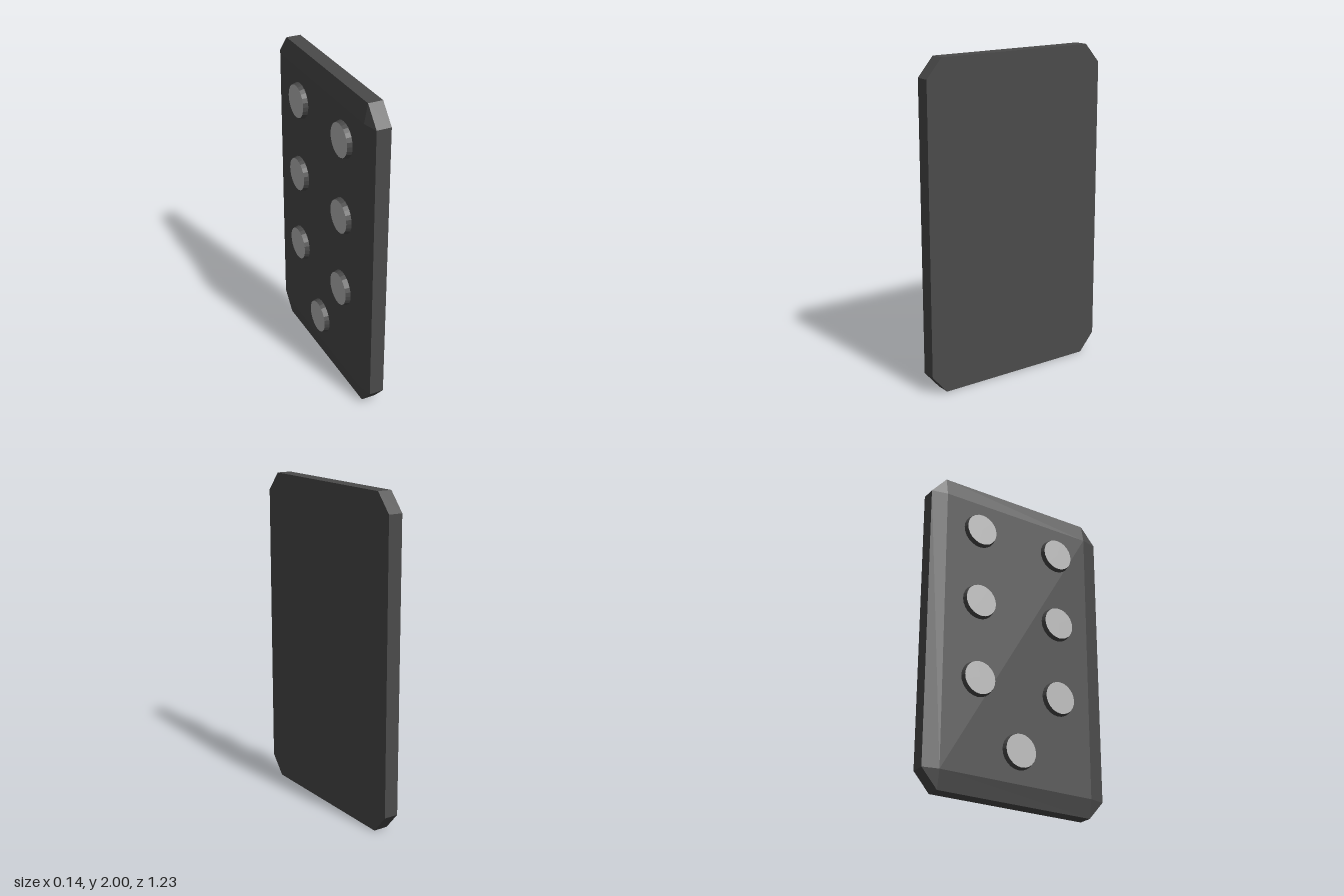
import * as THREE from 'three';
import { ConvexGeometry } from 'three/addons/geometries/ConvexGeometry.js';

const dark = new THREE.MeshStandardMaterial({ color: 0x4a4a4a, flatShading: true });
const light = new THREE.MeshStandardMaterial({ color: 0xbbbbbb });

const HALF_H = 1, HALF_W = 0.617;       // outer half height and half width
const INNER_H = 0.885, INNER_W = 0.517; // half size inside the chamfers
const BACK_X = 0.07, RIM_X = -0.02, FACE_X = -0.042, STUD_X = -0.072;

// Slab with cut corners and a shallow bevel around its studded face
function createPlate() {
  const points = [];
  for (const sy of [-1, 1]) {
    for (const sz of [-1, 1]) {
      for (const x of [BACK_X, RIM_X]) {
        points.push(new THREE.Vector3(x, sy * HALF_H, sz * INNER_W));
        points.push(new THREE.Vector3(x, sy * INNER_H, sz * HALF_W));
      }
      points.push(new THREE.Vector3(FACE_X, sy * INNER_H, sz * INNER_W));
    }
  }
  const plate = new THREE.Mesh(new ConvexGeometry(points), dark);
  plate.name = 'plate';
  plate.position.y = HALF_H;
  return plate;
}

// Slightly tapered round stud with a lighter cap, pointing to -x
function createStud(y, z) {
  const stud = new THREE.Group();
  stud.name = 'stud';
  const depth = FACE_X - STUD_X;
  const side = new THREE.Mesh(new THREE.CylinderGeometry(0.102, 0.11, depth, 24, 1, true), dark);
  side.name = 'studSide';
  side.position.y = depth / 2;
  const cap = new THREE.Mesh(new THREE.CircleGeometry(0.102, 24).rotateX(-Math.PI / 2).rotateY(Math.PI / 2), light);
  cap.name = 'studCap';
  cap.position.y = depth;
  stud.add(side, cap);
  stud.rotation.z = Math.PI / 2;
  stud.position.set(FACE_X, y, z);
  return stud;
}

export function createModel() {
  const model = new THREE.Group();
  model.name = 'studdedPlate';
  model.add(createPlate());

  // Three pairs of studs with a single one centred below
  for (const y of [1.69, 1.2, 0.7]) {
    for (const z of [-0.283, 0.283]) model.add(createStud(y, z));
  }
  model.add(createStud(0.31, 0));
  return model;
}
